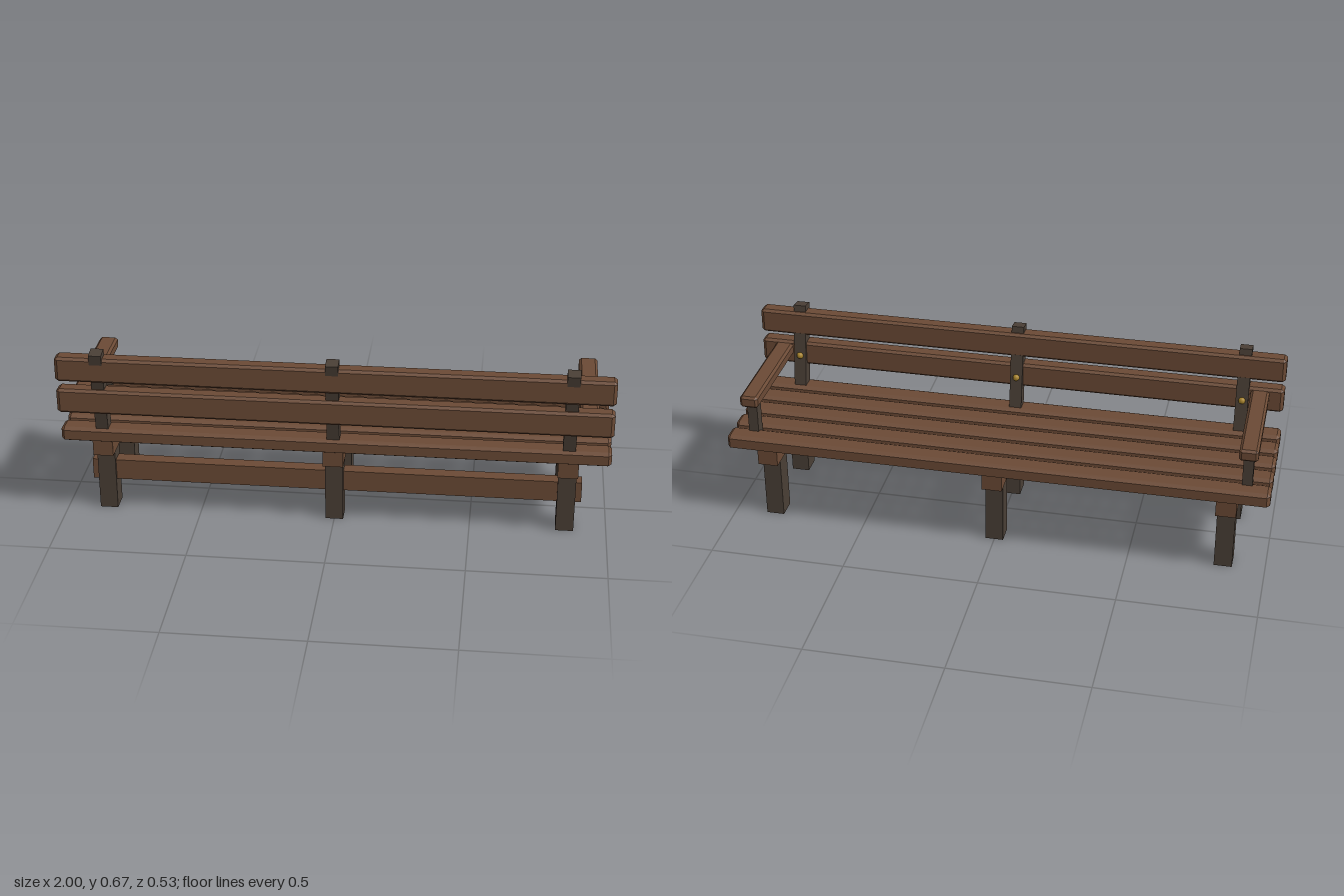
import * as THREE from 'three';
import { ConvexGeometry } from 'three/addons/geometries/ConvexGeometry.js';

const wood = new THREE.MeshStandardMaterial({ color: 0x6b4a35, flatShading: true });
const darkWood = new THREE.MeshStandardMaterial({ color: 0x4a3f36, flatShading: true });
const brass = new THREE.MeshStandardMaterial({ color: 0xa8842c });

// Box with flat chamfers; c gives the inset along x, y and z
function chamferedBox(w, h, d, [cx, cy, cz]) {
  const points = [];
  for (const sx of [-1, 1]) for (const sy of [-1, 1]) for (const sz of [-1, 1]) {
    const x = w / 2, y = h / 2, z = d / 2;
    points.push(
      new THREE.Vector3(sx * x, sy * (y - cy), sz * (z - cz)),
      new THREE.Vector3(sx * (x - cx), sy * y, sz * (z - cz)),
      new THREE.Vector3(sx * (x - cx), sy * (y - cy), sz * z));
  }
  return new ConvexGeometry(points);
}

export function createModel() {
  const bench = new THREE.Group();
  bench.name = 'parkBench';

  function add(name, geometry, material, x, y, z) {
    const mesh = new THREE.Mesh(geometry, material);
    mesh.name = name;
    mesh.position.set(x, y, z);
    bench.add(mesh);
    return mesh;
  }

  // Seat slats
  const seatSlat = chamferedBox(2, 0.055, 0.085, [0.012, 0.009, 0.016]);
  for (let i = 0; i < 5; i++) add('seatSlat', seatSlat, wood, 0, 0.321, 0.188 - i * 0.102);

  // Backrest slats
  const backSlat = chamferedBox(2, 0.094, 0.061, [0.012, 0.009, 0.01]);
  for (const y of [0.471, 0.596]) add('backSlat', backSlat, wood, 0, y, 0.2275);

  // Three frames: legs, bearer and leaning back post with its bolt
  const leg = new THREE.BoxGeometry(0.066, 0.242, 0.076);
  const bearer = new THREE.BoxGeometry(0.074, 0.06, 0.479);
  const post = new THREE.BoxGeometry(0.046, 0.428, 0.05);
  const bolt = new THREE.SphereGeometry(0.013, 12, 8);
  for (const x of [-0.848, 0, 0.848]) {
    add('backLeg', leg, darkWood, x, 0.121, 0.143);
    add('frontLeg', leg, darkWood, x, 0.121, -0.176);
    add('bearer', bearer, wood, x, 0.27, -0.0165);
    add('backPost', post, darkWood, x, 0.452, 0.207).rotation.x = 0.151;
    add('bolt', bolt, brass, x, 0.468, 0.184);
  }

  // Long stretcher through the back legs
  add('stretcher', new THREE.BoxGeometry(1.806, 0.079, 0.05), wood, 0, 0.156, 0.145);

  // Armrests and their front supports
  const armrest = chamferedBox(0.068, 0.045, 0.444, [0.009, 0.008, 0.009]);
  const support = new THREE.BoxGeometry(0.037, 0.17, 0.043);
  for (const side of [-1, 1]) {
    add('armrest', armrest, wood, side * 0.912, 0.4875, -0.017);
    add('armSupport', support, darkWood, side * 0.912, 0.395, -0.182);
  }

  return bench;
}
